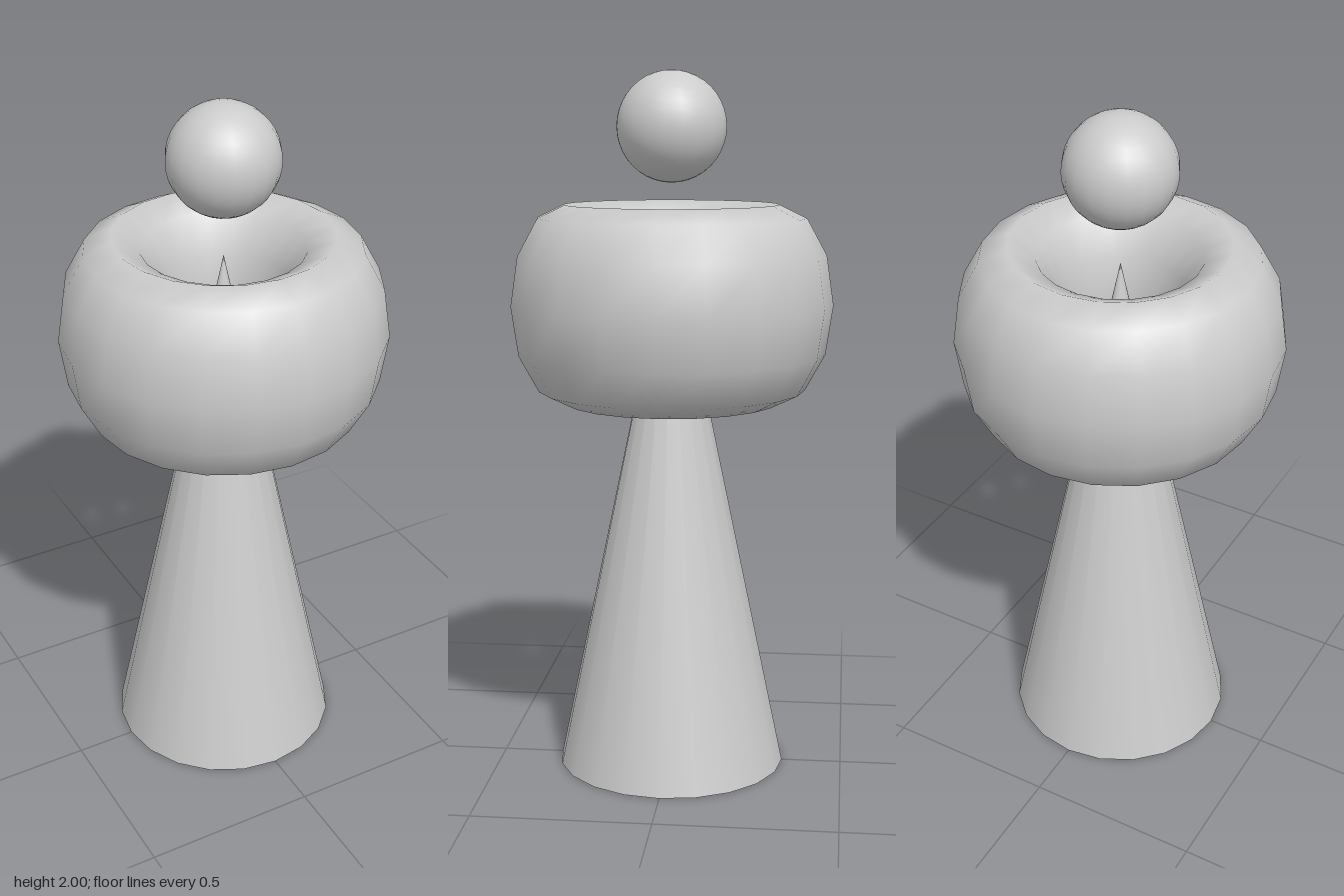
import * as THREE from 'three';

export function createModel() {
  const group = new THREE.Group();
  const material = new THREE.MeshStandardMaterial({ color: 0xcccccc });

  const add = (name, geometry, y) => {
    const mesh = new THREE.Mesh(geometry, material);
    mesh.name = name;
    mesh.position.y = y;
    group.add(mesh);
  };

  // Tall cone standing on its closed base, its tip inside the ring
  const coneHeight = 1.57;
  add('coneBody', new THREE.ConeGeometry(0.328, coneHeight, 20), coneHeight / 2);

  // Horizontal ring, stretched upwards so its tube is a tall oval
  const tube = 0.154;
  const ring = new THREE.TorusGeometry(0.304, tube, 12, 20);
  ring.rotateX(Math.PI / 2);
  ring.scale(1, 0.28 / tube, 1);
  add('ring', ring, 1.35);

  // Ball floating above the ring
  add('ball', new THREE.SphereGeometry(0.155, 20, 20), 1.845);

  return group;
}
